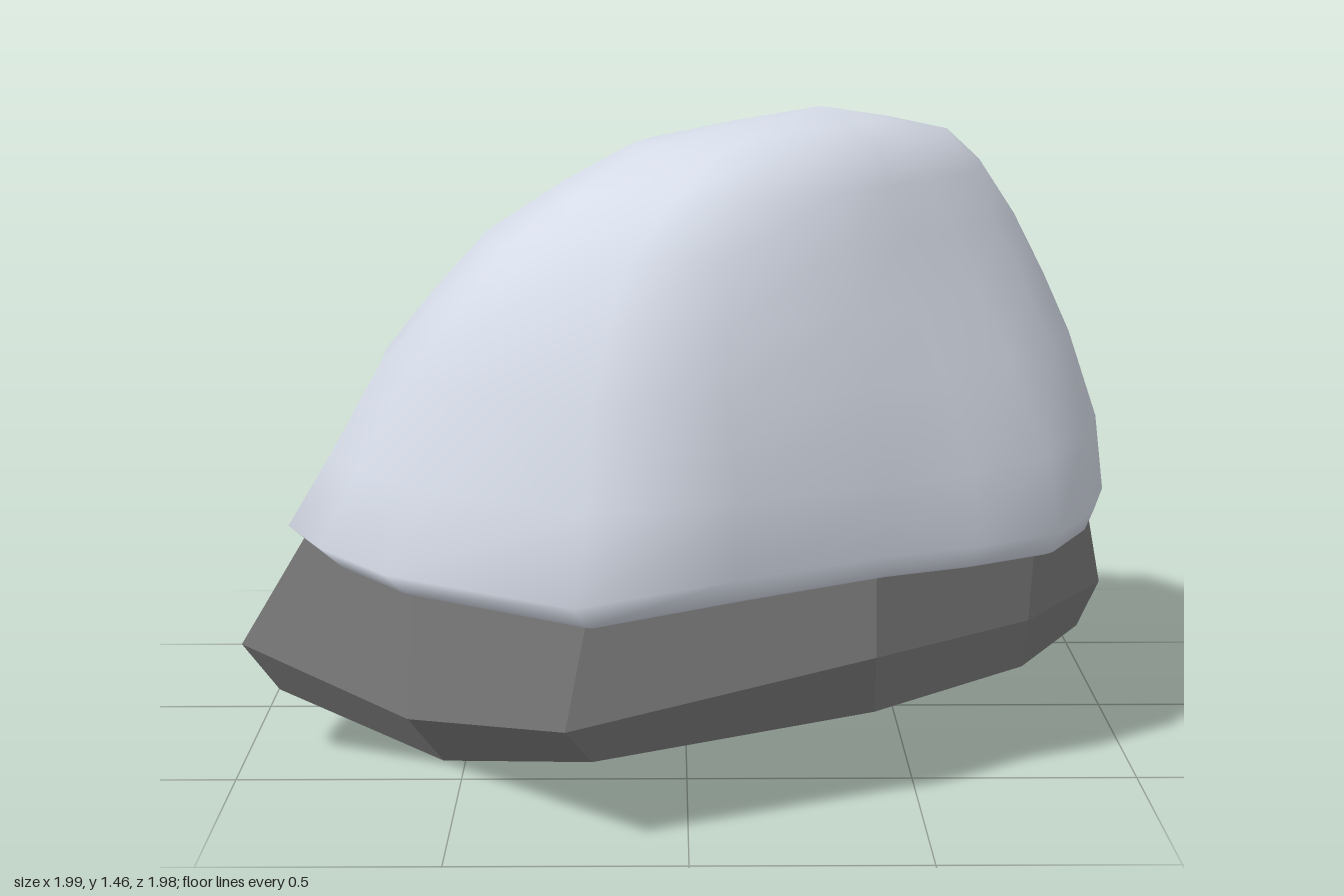
import * as THREE from 'three';

// Joins closed rings of [x, y, z] points, listed bottom to top; optional end points close it.
function loft(rings, bottom, top) {
  const n = rings[0].length;
  const points = rings.flat();
  const index = [];
  for (let r = 0; r < rings.length - 1; r++) {
    for (let i = 0; i < n; i++) {
      const a = r * n + i, b = r * n + (i + 1) % n;
      index.push(a, b, b + n, a, b + n, a + n);
    }
  }
  if (bottom) {
    const c = points.push(bottom) - 1;
    for (let i = 0; i < n; i++) index.push(c, (i + 1) % n, i);
  }
  if (top) {
    const c = points.push(top) - 1, s = (rings.length - 1) * n;
    for (let i = 0; i < n; i++) index.push(s + i, s + (i + 1) % n, c);
  }
  const g = new THREE.BufferGeometry();
  g.setAttribute('position', new THREE.Float32BufferAttribute(points.flat(), 3));
  g.setIndex(index);
  return g;
}

// Faceted rock: underside, lower edge, widest edge and the edge hidden in the snow
function rockGeometry() {
  const lower = [
    [-0.92, 0.16, 0.35], [-0.55, 0, 0.38], [-0.2, 0.16, 0.83], [0.4, 0.21, 0.66],
    [0.75, 0.23, 0.41], [0.94, 0.2, 0], [0.81, 0.14, -0.42], [0.5, 0.11, -0.77],
    [0.14, 0.25, -0.9], [-0.24, 0.26, -0.91], [-0.6, 0.17, -0.69], [-0.84, 0.2, -0.32],
  ];
  const middle = [
    [-1, 0.27, 0.36], [-0.62, 0.13, 0.47], [-0.25, 0.27, 0.96], [0.4, 0.34, 0.69],
    [0.76, 0.34, 0.42], [0.99, 0.31, 0], [0.91, 0.3, -0.4], [0.56, 0.25, -0.78],
    [0.2, 0.35, -0.97], [-0.24, 0.34, -0.96], [-0.65, 0.28, -0.75], [-0.87, 0.32, -0.35],
  ];
  const upper = [
    [-0.85, 0.36], [-0.58, 0.66], [-0.2, 0.89], [0.4, 0.66], [0.77, 0.42], [0.95, 0],
    [0.87, -0.39], [0.53, -0.73], [0.2, -0.9], [-0.2, -0.91], [-0.58, -0.68], [-0.78, -0.3],
  ].map(([x, z]) => [x, 0.52, z]);
  const inner = lower.map(([x, y, z]) => [x * 0.55, 0.09 + 0.3 * (y - 0.09), z * 0.55]);
  const g = loft([inner, lower, middle, upper], [0, 0.09, 0], [0, 0.55, 0]).toNonIndexed();
  g.computeVertexNormals();
  // One shared normal for the two triangles of each four-sided facet
  const normal = g.attributes.normal;
  const a = new THREE.Vector3(), b = new THREE.Vector3();
  for (let q = 0; q < 3 * lower.length * 6; q += 6) {
    a.fromBufferAttribute(normal, q).add(b.fromBufferAttribute(normal, q + 3)).normalize();
    for (let i = q; i < q + 6; i++) normal.setXYZ(i, a.x, a.y, a.z);
  }
  return g;
}

// Smooth snow dome: the rim outline turns into a slanted oval towards the top
function snowGeometry() {
  const outline = [
    [-0.23, 0.99], [0.1, 0.85], [0.42, 0.7], [0.62, 0.6], [0.82, 0.45], [0.93, 0.23],
    [0.99, 0], [0.92, -0.38], [0.55, -0.75], [0.2, -0.94], [0, -0.95], [-0.22, -0.99],
    [-0.46, -0.82], [-0.61, -0.68], [-0.8, -0.27], [-0.82, 0.05], [-0.88, 0.4],
    [-0.79, 0.57], [-0.63, 0.75],
  ];
  // [y, min x, max x, min z, max z]
  const levels = [
    [0.53, -0.78, 0.9, -0.89, 0.89],
    [0.495, -0.8, 0.95, -0.95, 0.94],
    [0.505, -0.83, 0.97, -0.97, 0.97],
    [0.55, -0.88, 0.99, -0.99, 0.99],
    [0.72, -0.8, 0.97, -0.87, 0.96],
    [0.92, -0.7, 0.91, -0.75, 0.91],
    [1.06, -0.58, 0.85, -0.61, 0.86],
    [1.2, -0.45, 0.78, -0.48, 0.79],
    [1.31, -0.28, 0.7, -0.33, 0.69],
    [1.39, -0.13, 0.61, -0.18, 0.58],
    [1.43, 0.08, 0.46, 0.02, 0.4],
  ];
  const rings = levels.map(([y, x0, x1, z0, z1]) => {
    const wave = y < 0.6 ? 0.015 : 0;
    const oval = THREE.MathUtils.clamp((y - 0.55) / 0.6, 0, 1);
    const slant = 0.1 + 0.2 * (y - 0.7);
    return outline.map(([x, z]) => {
      const u = (x - 0.055) / 0.935, v = z / 0.99;
      const t = Math.atan2(v, u);
      // The flattened front left flank, and a slighter one at the front right
      const flank = (angle) => Math.max(0, Math.cos(t - angle)) ** 6;
      const k = 1 - oval * (0.13 * flank(Math.PI / 4) + 0.06 * flank(Math.PI * 0.75));
      const px = k * THREE.MathUtils.lerp(u, Math.cos(t + slant), oval);
      const pz = k * THREE.MathUtils.lerp(v, Math.sin(t - slant), oval);
      return [
        (x0 + x1 + px * (x1 - x0)) / 2,
        y + wave * Math.sin(4 * x),
        (z0 + z1 + pz * (z1 - z0)) / 2,
      ];
    });
  });
  const g = loft(rings, null, [0.3, 1.46, 0.18]);
  g.computeVertexNormals();
  return g;
}

export function createModel() {
  const stone = new THREE.MeshStandardMaterial({ color: 0x7c7c7c });
  stone.name = 'stone grey';
  const white = new THREE.MeshStandardMaterial({ color: 0xd8deea });
  white.name = 'snow white';

  const rock = new THREE.Mesh(rockGeometry(), stone);
  rock.name = 'rock';
  const snow = new THREE.Mesh(snowGeometry(), white);
  snow.name = 'snowCap';

  const model = new THREE.Group();
  model.name = 'snowyRock';
  model.add(rock, snow);
  return model;
}
